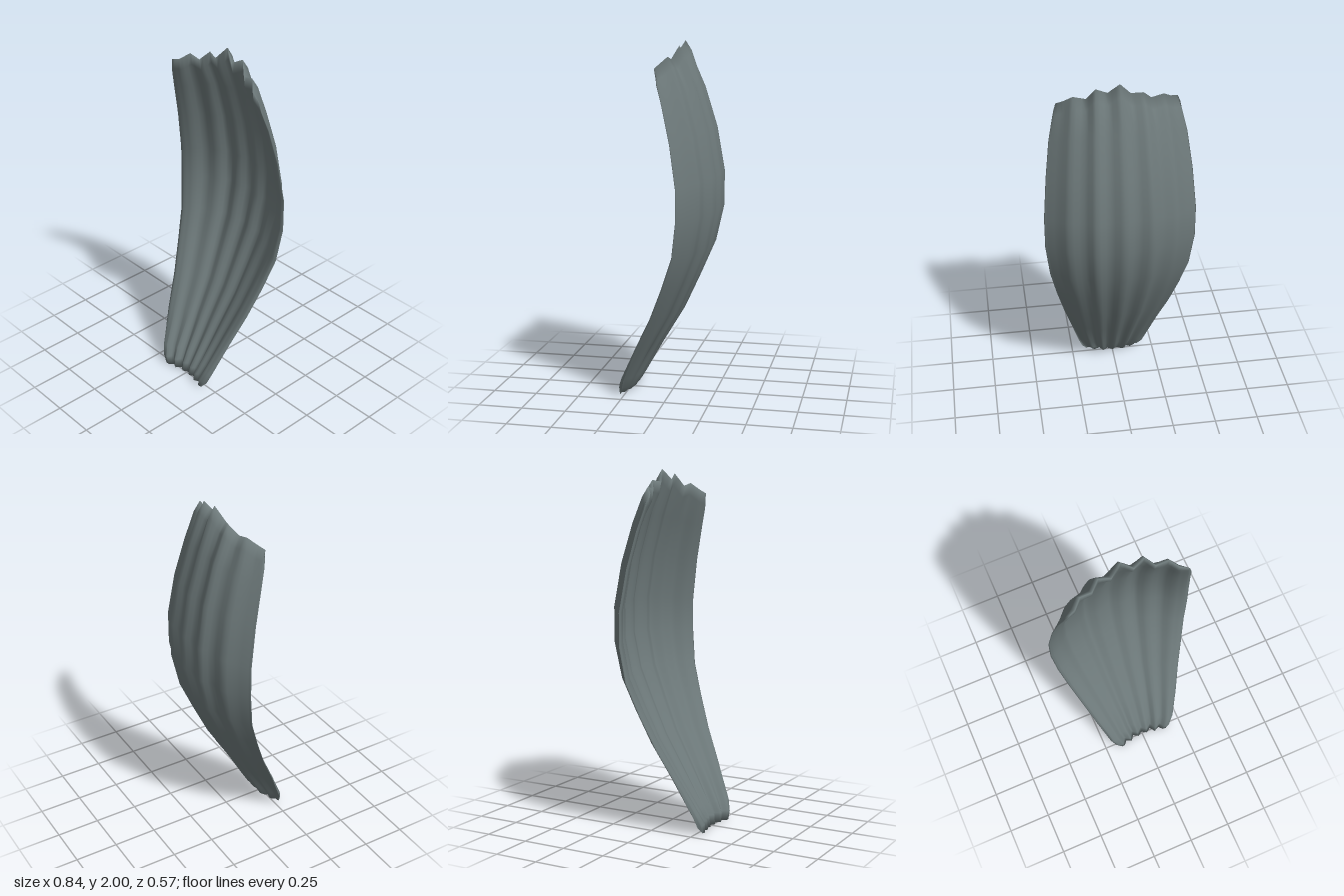
import * as THREE from 'three';
import { mergeVertices } from 'three/addons/utils/BufferGeometryUtils.js';

// Rows from base to tip: centre height, centre z, half width, cup depth, drop of the rim
const ROWS = [
  [0, 0.24, 0.157, 0.048, 0],
  [0.035, 0.2, 0.187, 0.08, 0],
  [0.1, 0.16, 0.212, 0.098, 0],
  [0.3, 0.047, 0.264, 0.112, 0.005],
  [0.495, -0.07, 0.314, 0.135, 0.01],
  [0.68, -0.155, 0.358, 0.147, 0.015],
  [0.865, -0.235, 0.397, 0.162, 0.015],
  [1.075, -0.282, 0.42, 0.184, 0.025],
  [1.275, -0.282, 0.42, 0.184, 0.04],
  [1.52, -0.24, 0.4, 0.178, 0.05],
  [1.75, -0.17, 0.374, 0.155, 0.08],
  [1.94, -0.105, 0.35, 0.122, 0.14],
  [2.0, -0.07, 0.338, 0.1, 0.17],
];

// Half cross-section, centre to rim: across position and pleat depth
const ACROSS = [0, 0.18, 0.37, 0.51, 0.71, 0.84, 0.965, 1];
const PLEAT = [0, 0.19, 0.08, 0.35, 0.43, 0.73, 0.95, 1];
const BASE_PLEAT = [0, 0.38, 0, 0.62, 0.3, 0.8, 0.83, 0.7];
const TIP_PLEAT = [0, 0.3, 0.1, 0.45, 0.5, 0.9, 1.05, 0.95];

// Ragged tip heights on each side, centre to rim
const TIP_LEFT = [2, 1.94, 1.975, 1.905, 1.92, 1.88, 1.86, 1.83];
const TIP_RIGHT = [2, 1.93, 1.94, 1.89, 1.905, 1.87, 1.86, 1.83];

// Each pleat flank is split so that its slope is shaded
const SPLIT = 3;
const THICKNESS = 0.03;

// Value of a list at a fractional place
function sample(list, place) {
  const i = Math.min(Math.floor(place), list.length - 2);
  return THREE.MathUtils.lerp(list[i], list[i + 1], place - i);
}

// Back and front skins, meeting in a ridge all round
function petalGeometry() {
  const positions = [], index = [];
  const edge = ACROSS.length - 1, half = edge * SPLIT;
  const cols = half * 2 + 1, last = ROWS.length - 1;

  for (const skin of [0, 1]) {
    ROWS.forEach(([y, z, width, depth, drop], r) => {
      const blend = Math.min(1, y / 0.2);
      const below = ROWS[Math.max(0, r - 1)], above = ROWS[Math.min(last, r + 1)];
      for (let c = -half; c <= half; c++) {
        const k = Math.abs(c) / SPLIT, u = sample(ACROSS, k), side = Math.sign(c);
        const tip = sample(c < 0 ? TIP_RIGHT : TIP_LEFT, k);
        let height = y - drop * u * u;
        if (r === last) height = tip;
        if (r === last - 1) height = tip - 0.055;
        const pleat = r === last ? sample(TIP_PLEAT, k)
          : THREE.MathUtils.lerp(sample(BASE_PLEAT, k), sample(PLEAT, k), blend);

        // The front skin stands off the back one, square to the curve of the sheet
        const taper = r === 0 || r === last ? 0 : Math.min(1, (edge - k) / 2);
        const out = new THREE.Vector3(0, below[1] - above[1], above[0] - below[0]).normalize();
        out.x = -0.55 * u * side;
        out.setLength(skin * taper * THICKNESS);
        positions.push(side * u * width + out.x, height + out.y, z + depth * pleat + out.z);
      }
    });
    const start = skin * cols * ROWS.length;
    for (let r = 0; r < last; r++) {
      for (let c = 0; c < cols - 1; c++) {
        const a = start + r * cols + c, b = a + cols;
        if (skin) index.push(a, a + 1, b + 1, a, b + 1, b);
        else index.push(a, b + 1, a + 1, a, b, b + 1);
      }
    }
  }
  const geometry = new THREE.BufferGeometry();
  geometry.setAttribute('position', new THREE.Float32BufferAttribute(positions, 3));
  geometry.setIndex(index);
  const welded = mergeVertices(geometry);
  welded.computeVertexNormals();
  return welded;
}

export function createModel() {
  const group = new THREE.Group();
  group.name = 'pleatedPetal';
  const grey = new THREE.MeshStandardMaterial({ color: 0x6e7a7b });
  grey.name = 'slate grey';

  // Thin pleated petal, cupped towards the front
  const petal = new THREE.Mesh(petalGeometry(), grey);
  petal.name = 'petal';
  group.add(petal);
  return group;
}
